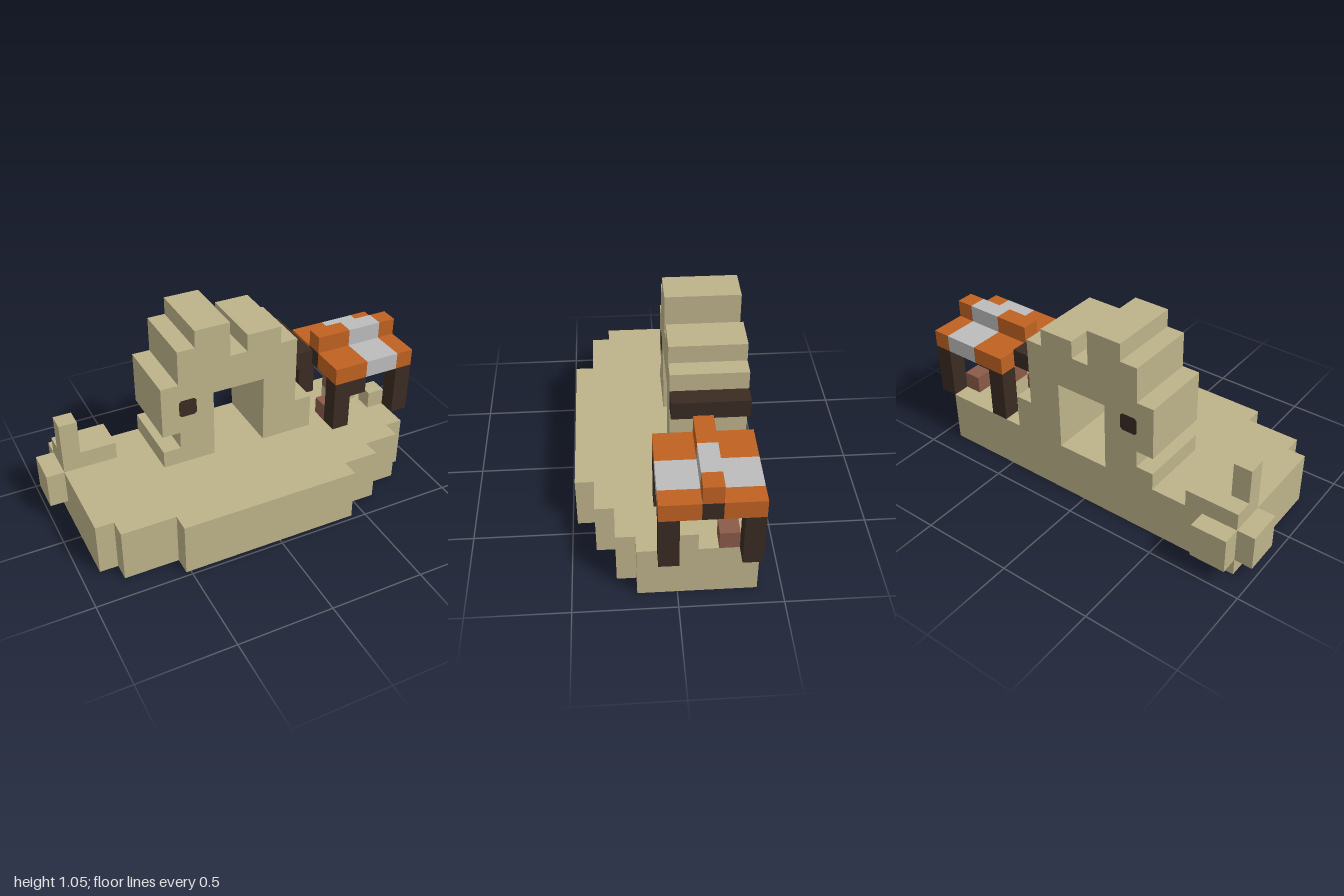
import * as THREE from 'three';

const U = 2 / 21; // grid cell size
const X = k => k * U - 1;
const Z = j => (j - 5) * U;

const mat = (name, color) => {
  const m = new THREE.MeshStandardMaterial({ color });
  m.name = name;
  return m;
};

export function createModel() {
  const model = new THREE.Group();
  const sand = mat('sandstone', 0xbdb38a);
  const orange = mat('orangeCloth', 0xc06222);
  const grey = mat('greyCloth', 0xbcbcbc);
  const dark = mat('darkWood', 0x3a2b22);
  const clay = mat('clay', 0x8a5a48);

  const add = (name, geometry, material) => {
    const mesh = new THREE.Mesh(geometry, material);
    mesh.name = name;
    model.add(mesh);
    return mesh;
  };

  // Box between two grid corners
  const box = (name, m, k0, k1, y0, y1, j0, j1) => {
    const mesh = add(name, new THREE.BoxGeometry((k1 - k0) * U, (y1 - y0) * U, (j1 - j0) * U), m);
    mesh.position.set((X(k0) + X(k1)) / 2, (y0 + y1) / 2 * U, (Z(j0) + Z(j1)) / 2);
    return mesh;
  };

  const extrude = (points, depth) => new THREE.ExtrudeGeometry(
    new THREE.Shape(points.map(p => new THREE.Vector2(p[0], p[1]))),
    { depth, bevelEnabled: false });

  // Stepped ground slab, drawn in plan and laid flat
  const plan = [[1, 1], [1, 8], [2, 8], [2, 9], [5, 9], [5, 10], [15, 10], [15, 9],
    [17, 9], [17, 8], [19, 8], [19, 7], [20, 7], [20, 1]];
  const slab = extrude(plan.map(([k, j]) => [X(k), -Z(j)]), 3 * U);
  slab.rotateX(-Math.PI / 2);
  add('ground', slab, sand);

  // Blocks around the back corner
  box('sideBlock', sand, 0, 1, 1, 3, 1, 3);
  box('backBlock', sand, 1, 3, 1, 3, 0, 1);
  box('ledge', sand, 1, 4, 3, 4, 1, 3);
  box('chimney', sand, 1, 2, 4, 6, 2, 3);

  // House: stepped front outline with an open doorway
  const outline = [[6, 3], [9, 3], [9, 7], [12, 7], [12, 3], [15, 3], [15, 5], [14, 5],
    [14, 9], [13, 9], [13, 10], [11, 10], [11, 9], [10, 9], [10, 11], [8, 11], [8, 10],
    [7, 10], [7, 8], [6, 8], [6, 5], [7, 5], [7, 4], [6, 4]];
  const house = extrude(outline.map(([k, y]) => [X(k), y * U]), 4 * U);
  house.translate(0, 0, Z(1));
  add('house', house, sand);
  box('houseAwning', dark, 14, 15, 7, 8, 1, 5);

  // Window with clipped corners, on the front and back walls
  const h = U / 2, c = h * 0.75;
  const pane = [[-c, -h], [c, -h], [h, -c], [h, c], [c, h], [-c, h], [-h, c], [-h, -c]];
  for (const [name, z] of [['frontWindow', Z(5)], ['backWindow', Z(1)]]) {
    add(name, extrude(pane, 0.004), dark).position.set(X(7.5), 6.5 * U, z - 0.002);
  }

  // Stall posts, brace and ridge beam
  for (const k of [16, 20]) for (const j of [1, 5]) box('stallPost', dark, k, k + 1, 3, 6, j, j + 1);
  box('stallBrace', dark, 17, 18, 5, 6, 5, 6);
  box('ridgeBeam', dark, 16, 21, 6, 7, 3, 4);

  // Striped stall roof: two slopes and a raised ridge
  for (const [k0, k1, m] of [[16, 18, orange], [18, 20, grey], [20, 21, orange]]) {
    box('roofBack', m, k0, k1, 6, 7, 1, 3);
    box('roofFront', m, k0, k1, 6, 7, 4, 6);
    box('roofRidge', m, k0, k1, 7, 8, 3, 4);
  }

  // Goods under the roof
  box('counterLeg', sand, 17, 18, 3, 4, 3, 4);
  box('counterTop', sand, 17, 18, 4, 5, 4, 5);
  box('counterPot', clay, 17, 18, 4, 5, 3, 4);
  box('crate', sand, 19, 20, 3, 4, 4, 5);
  box('backPot', clay, 19, 20, 3, 4, 2, 3);
  box('frontPot', clay, 16, 17, 3, 4, 4, 5);

  return model;
}
